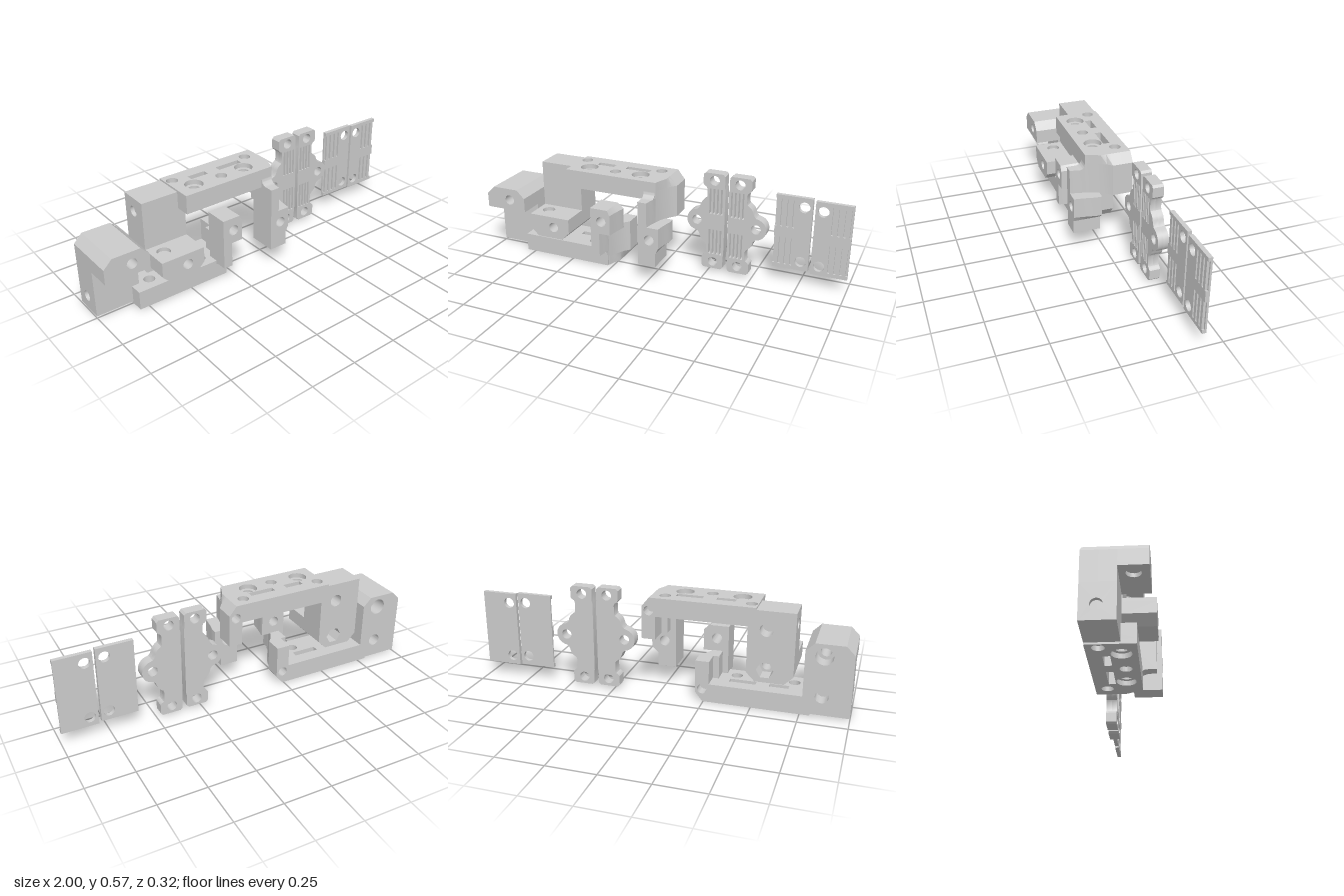
import * as THREE from 'three';
import { toCreasedNormals } from 'three/addons/utils/BufferGeometryUtils.js';

const material = new THREE.MeshStandardMaterial({ color: 0xcccccc });
const BACK = -0.16;

// Holes are arrays of points
const ring = (x, y, r, sides = 24) => Array.from({ length: sides }, (_, i) => {
  const a = (i / sides) * Math.PI * 2;
  return [x + r * Math.cos(a), y + r * Math.sin(a)];
});
const rect = (x0, y0, x1, y1) => [[x0, y0], [x1, y0], [x1, y1], [x0, y1]];

// Extrudes an outline from a to b along the chosen axis.
// z: points are (x, y); y: points are (x, z); x: points are (z, y)
// taper { y, x }: corners at height y are pulled in to at most x
function slab(group, name, axis, outline, holes, a, b, taper) {
  const toVec = ([u, v]) => axis === 'z' ? new THREE.Vector2(u, v)
    : axis === 'y' ? new THREE.Vector2(u, -v) : new THREE.Vector2(-u, v);
  // Outlines run counter-clockwise so that hole walls face the right way
  const points = outline.map(toVec);
  if (THREE.ShapeUtils.isClockWise(points)) points.reverse();
  const shape = new THREE.Shape(points);
  shape.holes = holes.map(h => new THREE.Path(h.map(toVec)));
  let geo = new THREE.ExtrudeGeometry(shape, { depth: Math.abs(b - a), bevelEnabled: false });
  geo.translate(0, 0, Math.min(a, b));
  if (axis === 'y') geo.rotateX(-Math.PI / 2);
  if (axis === 'x') geo.rotateY(Math.PI / 2);
  if (taper) {
    const p = geo.attributes.position;
    for (let i = 0; i < p.count; i++)
      if (Math.abs(p.getY(i) - taper.y) < 1e-4) p.setX(i, Math.min(p.getX(i), taper.x));
  }
  geo = toCreasedNormals(geo, 0.5);
  const mesh = new THREE.Mesh(geo, material);
  mesh.name = name;
  group.add(mesh);
}

// Clamp bracket: thick block, bridging bar and scooped post.
// The lower one is flipped in y, shifted sideways and a little shallower.
function bracket(name, flip, dx, dz, postEnd, pocketSides) {
  const g = new THREE.Group();
  g.name = name;
  const Y = y => flip ? 0.54 - y : y;
  const X = pts => pts.map(([x, y]) => [x + dx, Y(y)]);
  const XZ = pts => pts.map(([x, z]) => [x + dx, z]);
  const xy = (n, pts, holes, a, b) => slab(g, n, 'z', X(pts), holes.map(X), a, b);
  const xz = (n, pts, holes, a, b, taper) => slab(g, n, 'y', XZ(pts), holes.map(XZ), Y(a), Y(b),
    taper && { y: Y(taper.y), x: taper.x + dx });
  const zy = (n, pts, holes, a, b) => {
    const place = list => list.map(([z, y]) => [z, Y(y)]);
    slab(g, n, 'x', place(pts), holes.map(place), a + dx, b + dx);
  };

  // Block, with a screw pocket at the back and a blind hole in its outer side
  const foot = [[-0.47, 0.195], [-0.515, 0.15], [-0.665, 0.15], [-0.71, 0.195]];
  const block = [[-0.69, 0.53], [-0.51, 0.53], [-0.51, 0.44], [-0.47, 0.44], ...foot,
    [-0.71, 0.35], [-0.69, 0.35]];
  const bolt = ring(-0.565, 0.215, 0.028);
  xy('blockBack', block, [ring(-0.565, 0.215, 0.045, pocketSides), ring(-0.565, 0.43, 0.034)], BACK, -0.08);
  xy('blockFront', block, [bolt], -0.08, 0);
  zy('blockSide', rect(BACK, 0.35, 0, 0.53), [ring(-0.085, 0.455, 0.028)], -0.71, -0.69);

  // Foot reaching forward, with a blind hole in its inner face
  xy('blockFoot', [[-0.71, 0.255], [-0.47, 0.255], ...foot], [bolt], 0, 0.155 + dz);
  xz('blockFootCap', rect(-0.71, 0, -0.47, 0.155 + dz), [ring(-0.645, 0.065, 0.035)], 0.255, 0.275);

  // Bar, with windows, counterbored holes and blind holes
  const bar = rect(-0.51, BACK, 0.012, 0.08 + dz / 2);
  const windows = [rect(-0.39, -0.09, -0.29, -0.055), rect(-0.22, -0.09, -0.08, -0.055)];
  const bores = r => [ring(-0.41, -0.003, r), ring(-0.105, -0.003, r)];
  xz('barInner', bar, [...windows, ...bores(0.03)], 0.44, 0.515);
  xz('barOuter', bar, [...windows, ...bores(0.048), ring(-0.475, -0.1, 0.03),
    ring(-0.025, -0.1, 0.03), ring(-0.25, 0.005, 0.03)], 0.515, 0.54);

  // Chamfered end with a blind hole at the back
  const end = [[0.012, 0.315], [0.085, 0.315], [0.085, 0.49], [0.045, 0.54], [0.012, 0.54]];
  xy('barEndBack', end, [ring(0.047, 0.47, 0.026)], BACK, -0.1);
  xy('barEnd', end, [], -0.1, -0.05 + dz);

  // Concave scoop leading from the bar end to the post, its top following the end chamfer
  const scoop = [[0.085, -0.05], [0.062, -0.025], [0.045, 0.005], [0.028, 0.04],
    [0.016, 0.08], [0.006, 0.12], [0, 0.16]].map(([x, z]) => [x, z + dz]);
  const near = [[-0.02, -0.05 + dz], ...scoop.slice(0, 5), [-0.02, 0.08 + dz]];
  xz('scoopNear', near, [], 0.315, 0.49);
  xz('scoopTop', near, [], 0.49, 0.54, { y: 0.54, x: 0.045 });
  xz('scoopFar', [[-0.05, 0.01], [0.012, 0.01], ...scoop.slice(4), [-0.05, 0.16 + dz]], [], 0.315, 0.453);

  // Fillet where the post steps forward from the bar
  const fillet = [[0.07 + dz, 0.45], [0.07 + dz, 0.485]];
  for (let i = 0; i <= 8; i++) {
    const a = (i / 8) * Math.PI / 2;
    fillet.push([0.112 + dz - 0.032 * Math.cos(a), 0.485 - 0.032 * Math.sin(a)]);
  }
  fillet.push([0.112 + dz, 0.45]);
  zy('postFillet', fillet, [], -0.05, 0.012);

  // Post with its screw hole, and a curved wing along its side
  const tip = 0.16 + dz;
  xy('post', rect(-0.05, postEnd, 0.05, 0.318), [ring(0.013, 0.247, 0.028)], 0.01, tip);
  const wing = [[0.05, 0.01], [0.085, 0.01], [0.085, 0.045 + dz], [0.077, 0.08 + dz],
    [0.07, 0.12 + dz], [0.065, tip], [0.05, tip]];
  xz('wing', wing, [], 0.205, 0.318);
  xz('wingTaper', wing, [], 0.176, 0.205, { y: 0.176, x: 0.051 });
  return g;
}

// Lobed cable clamp; s = 1 points the lobe towards -x, -1 mirrors it
function lobedClamp(name, cx, s, cy) {
  const g = new THREE.Group();
  g.name = name;
  const place = pts => pts.map(([x, y]) => [cx + s * x, cy + y]);
  // Upper half outline: tab, neck, shoulder, then the round lobe
  const half = [[0, 0.188], [-0.003, 0.2], [-0.003, 0.264], [-0.014, 0.275], [-0.112, 0.275],
    [-0.123, 0.264], [-0.123, 0.212], [-0.117, 0.203], [-0.105, 0.196], [-0.1, 0.185], [-0.1, 0.14],
    [-0.104, 0.129], [-0.115, 0.121], [-0.128, 0.11], [-0.136, 0.094], [-0.142, 0.075], [-0.152, 0.063]];
  for (let i = 1; i <= 8; i++) {
    const a = Math.PI / 2 * (1 - i / 8);
    half.push([-0.153 - 0.058 * Math.cos(a), 0.06 * Math.sin(a)]);
  }
  const outline = place([...half, ...half.slice(0, -1).reverse().map(([x, y]) => [x, -y])]);
  const holes = [ring(-0.155, 0, 0.027), ring(-0.06, 0.235, 0.027), ring(-0.06, -0.235, 0.027)];
  const slots = [];
  for (const x of [-0.081, -0.06, -0.039, -0.018])
    for (const y of [0.045, -0.19]) slots.push(rect(x - 0.006, y, x + 0.006, y + 0.145));
  slab(g, 'clampBase', 'z', outline, holes.map(place), BACK, -0.13);
  slab(g, 'clampRibs', 'z', outline, [...holes, ...slots].map(place), -0.13, -0.102);
  return g;
}

// Thin cover plate with slots and a notched outer edge
function coverPlate(name, x, s, cy) {
  const g = new THREE.Group();
  g.name = name;
  const place = pts => pts.map(([u, v]) => [x + s * u, cy + v]);
  const holes = [ring(0.15, 0.152, 0.029), ring(0.15, -0.155, 0.029)];
  const slots = [];
  for (const u of [0.035, 0.067, 0.098])
    for (const v of [0.03, -0.185]) slots.push(rect(u - 0.006, v, u + 0.006, v + 0.155));
  const notched = [[0, -0.205], [0.192, -0.205], [0.192, 0.205], [0, 0.205],
    [0, 0.185], [0.01, 0.185], [0.01, 0.03], [0, 0.03],
    [0, -0.03], [0.01, -0.03], [0.01, -0.185], [0, -0.185]];
  slab(g, 'plateBase', 'z', place(rect(0, -0.205, 0.192, 0.205)), holes.map(place), BACK, -0.15);
  slab(g, 'plateRibs', 'z', place(notched), [...holes, ...slots].map(place), -0.15, -0.138);
  return g;
}

export function createModel() {
  const model = new THREE.Group();
  model.name = 'clampKit';
  model.add(
    bracket('upperBracket', false, 0, 0, 0.1, 6),
    bracket('lowerBracket', true, -0.29, -0.02, 0.176, 24),
    lobedClamp('leftClamp', 0.337, 1, 0.293),
    lobedClamp('rightClamp', 0.357, -1, 0.289),
    coverPlate('leftPlate', 0.6, 1, 0.288),
    coverPlate('rightPlate', 0.998, -1, 0.28),
  );
  return model;
}
